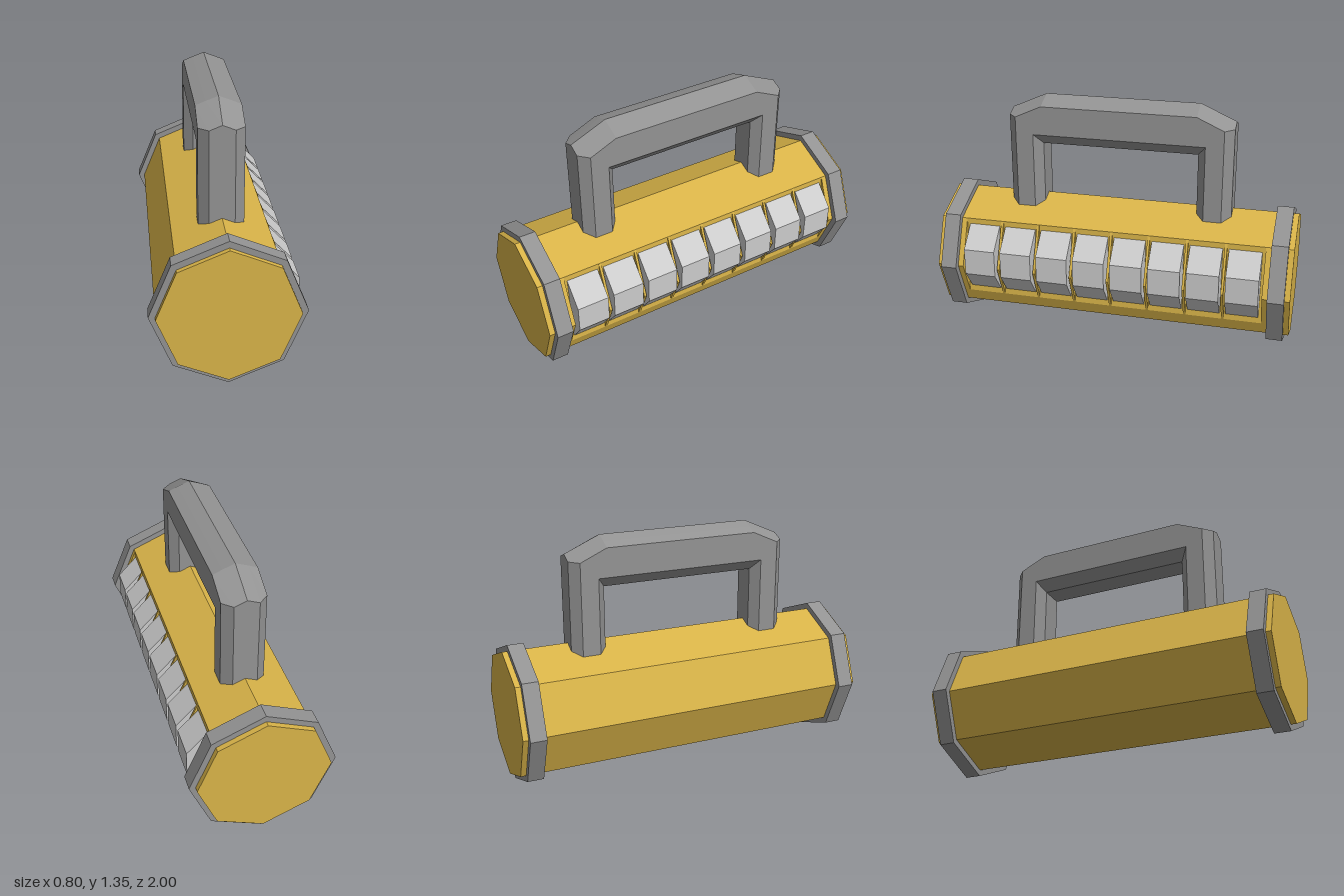
import * as THREE from 'three';

const material = (color, side = THREE.FrontSide) =>
  new THREE.MeshStandardMaterial({ color, flatShading: true, side });
const gold = material(0xd8b348);
const darkGrey = material(0x939393);
const lightGrey = material(0xcccccc);

const CENTRE_Y = 0.4;

// Regular octagon outline with a corner at the top
function octagon(radius) {
  const points = [];
  for (let k = 0; k < 8; k++) {
    const a = (k * Math.PI) / 4;
    points.push(new THREE.Vector2(radius * Math.cos(a), CENTRE_Y + radius * Math.sin(a)));
  }
  return points;
}

// Prism with an outline in x, y, running along z about a given centre
function prism(name, points, hole, length, z, mat) {
  const shape = new THREE.Shape(points);
  if (hole) shape.holes.push(new THREE.Path(hole));
  const geometry = new THREE.ExtrudeGeometry(shape, { depth: length, bevelEnabled: false });
  geometry.translate(0, 0, z - length / 2);
  const mesh = new THREE.Mesh(geometry, mat);
  mesh.name = name;
  return mesh;
}

// Carry handle: a chamfered section lofted up one leg, along the grip and down
function handleGeometry() {
  const xs = [0, 0.067, 0.12, 0.12, 0.067];
  const legZ = [0.635, 0.635, 0.585, 0.485, 0.44];
  const legTopY = [1.262, 1.235, 1.235, 1.14, 1.08];
  const gripY = [1.35, 1.325, 1.303, 1.14, 1.08];
  const gripZ = [0.435, 0.435, 0.435, 0.485, 0.44];
  const ring = (ys, zs, sign) => {
    const half = xs.map((x, i) => [x, ys[i], sign * zs[i]]);
    const mirrored = half.slice(1).reverse().map(([x, y, z]) => [-x, y, z]);
    return [...half, ...mirrored];
  };
  const foot = xs.map(() => 0.68);
  const rings = [
    ring(foot, legZ, 1), ring(legTopY, legZ, 1), ring(gripY, gripZ, 1),
    ring(gripY, gripZ, -1), ring(legTopY, legZ, -1), ring(foot, legZ, -1),
  ];
  const n = rings[0].length;
  const index = [];
  for (let r = 0; r < rings.length - 1; r++) {
    for (let j = 0; j < n; j++) {
      const a = r * n + j, b = r * n + ((j + 1) % n);
      index.push(a, b, a + n, b, b + n, a + n);
    }
  }
  const indexed = new THREE.BufferGeometry();
  indexed.setAttribute('position', new THREE.Float32BufferAttribute(rings.flat(2), 3));
  indexed.setIndex(index);
  const geometry = indexed.toNonIndexed();
  geometry.computeVertexNormals();
  return geometry;
}

export function createModel() {
  const model = new THREE.Group();
  model.name = 'handheldCanister';

  // Body, with its left corner cut away to seat the keys
  const outline = octagon(0.363);
  const corner = outline[0];
  const slotTop = outline[1];
  const slotBottom = new THREE.Vector2(0.287, 0.215);
  model.add(prism('body', [slotBottom, ...outline.slice(1)], null, 2, 0, gold));

  // Wedges filling the cut: full ends and thin ribs between the keys
  const wedge = [slotBottom, corner, slotTop];
  const pitch = 0.2125;
  for (const s of [-1, 1]) model.add(prism('bodyEnd', wedge, null, 0.15, s * 0.925, gold));
  for (let i = -3; i <= 3; i++) model.add(prism('rib', wedge, null, 0.014, i * pitch, gold));

  // Row of eight keys
  const keyOutline = [
    [0.255, 0.63], [0.25, 0.25], [0.29, 0.25], [0.372, 0.36], [0.372, 0.51],
  ].map(([x, y]) => new THREE.Vector2(x, y));
  for (let i = 0; i < 8; i++) {
    model.add(prism('key', keyOutline, null, 0.178, (i - 3.5) * pitch, lightGrey));
  }

  // Octagonal bands near both ends
  for (const s of [-1, 1]) {
    model.add(prism('endBand', octagon(0.398), octagon(0.36), 0.09, s * 0.925, darkGrey));
  }

  const handle = new THREE.Mesh(handleGeometry(), darkGrey);
  handle.name = 'handle';
  model.add(handle);

  return model;
}
